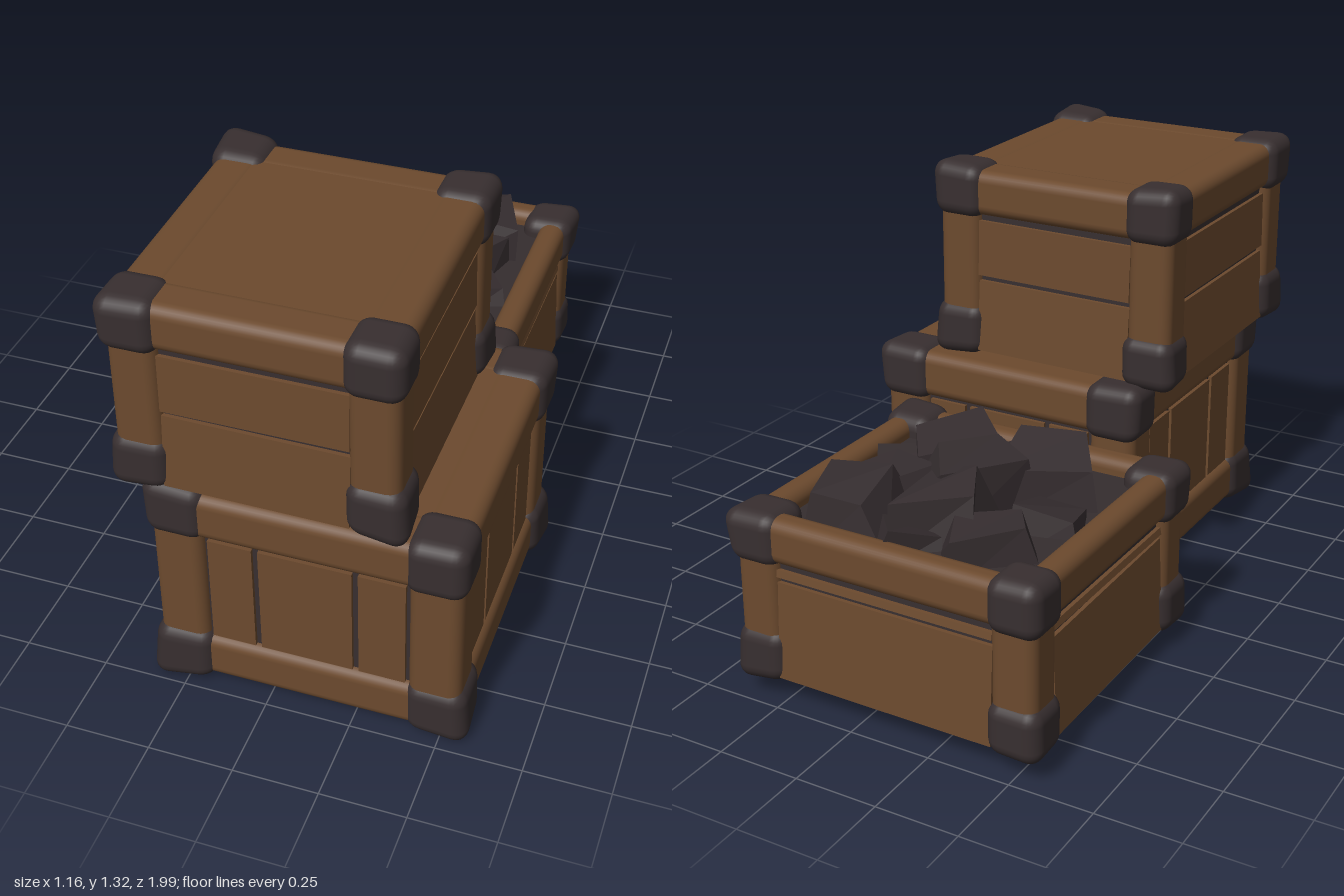
import * as THREE from 'three';
import { RoundedBoxGeometry } from 'three/addons/geometries/RoundedBoxGeometry.js';

const wood = new THREE.MeshStandardMaterial({ color: 0x6c4a2e });
wood.name = 'brown wood';
const dark = new THREE.MeshStandardMaterial({ color: 0x382f30 });
dark.name = 'dark iron';
const coalMat = new THREE.MeshStandardMaterial({ color: 0x352d2f, flatShading: true });
coalMat.name = 'coal';

// Repeatable noise in -1..1
function noise(n) {
  const s = Math.sin(n * 127.1 + 11.7) * 43758.5453;
  return (s - Math.floor(s)) * 2 - 1;
}

function add(group, name, geometry, material, x = 0, y = 0, z = 0) {
  const mesh = new THREE.Mesh(geometry, material);
  mesh.name = name;
  mesh.position.set(x, y, z);
  group.add(mesh);
  return mesh;
}

// Flat board; the lower edge may flare outwards (+z)
function boardGeometry(w, h, flare) {
  const g = new THREE.BoxGeometry(w, h, 0.03);
  const p = g.attributes.position;
  for (let i = 0; i < p.count; i++) {
    if (p.getY(i) < 0 && p.getZ(i) > 0) p.setZ(i, p.getZ(i) + flare);
  }
  g.computeVertexNormals();
  return g;
}

// Iron cap whose outer corner bulges a little, sx sy sz give the corner
function capGeometry(size, sx, sy, sz, seed) {
  const g = new RoundedBoxGeometry(size, size, size, 3, 0.045);
  const p = g.attributes.position;
  const h = size / 2;
  for (let i = 0; i < p.count; i++) {
    const x = p.getX(i), y = p.getY(i), z = p.getZ(i);
    const a = (x * sx / h + 1) / 2, b = (y * sy / h + 1) / 2, c = (z * sz / h + 1) / 2;
    const k = 0.012 * a * b * c;
    p.setXYZ(i, x + sx * k * (1 + noise(seed)), y + sy * k * (1 + noise(seed + 1)), z + sz * k * (1 + noise(seed + 2)));
  }
  return g;
}

function makeCrate({ name, min, max, t, seed, splits, vertical = false, bottomRails = false, open = false }) {
  const crate = new THREE.Group();
  crate.name = name;
  const size = max.map((v, i) => v - min[i]);
  crate.position.set(...max.map((v, i) => (v + min[i]) / 2));
  const inset = 0.014;

  // Core box: flush lid and base, recessed sides
  const coreTop = size[1] / 2 - (open ? 0.1 : inset + 0.002);
  const coreBottom = -size[1] / 2 + inset + 0.002;
  add(crate, 'core', new THREE.BoxGeometry(size[0] - 0.1, coreTop - coreBottom, size[2] - 0.1), wood, 0, (coreTop + coreBottom) / 2, 0);

  // Rails and posts along the edges
  for (let axis = 0; axis < 3; axis++) {
    const [u, v] = axis === 1 ? [0, 2] : [1, axis === 0 ? 2 : 0];
    for (const su of [-1, 1]) for (const sv of [-1, 1]) {
      if (axis !== 1 && su < 0 && !bottomRails) continue;
      const d = [0, 0, 0], pos = [0, 0, 0];
      d[axis] = size[axis] - t;
      d[u] = t - inset;
      d[v] = (open && axis !== 1 ? 0.1 : t) - inset;
      // Posts of an open crate stop level with the rails
      pos[u] = su * (size[u] / 2 - inset - d[u] / 2);
      pos[v] = sv * (size[v] / 2 - inset - d[v] / 2);
      add(crate, axis === 1 ? 'post' : 'rail', new RoundedBoxGeometry(...d, 3, 0.035), wood, ...pos);
    }
  }

  // Iron corner caps
  let n = seed;
  for (const sx of [-1, 1]) for (const sy of [-1, 1]) for (const sz of [-1, 1]) {
    n += 5;
    const s = t + 0.012;
    const j = (k) => 0.005 * noise(n + k);
    add(crate, 'cornerCap', capGeometry(s, sx, sy, sz, n), dark,
      sx * (size[0] / 2 - s / 2) + j(0), sy * (size[1] / 2 - s / 2) + j(1), sz * (size[2] / 2 - s / 2) + j(2));
  }

  // Boards on the four sides over a dark backing that shows in the gaps
  const low = -size[1] / 2 + (bottomRails ? t : inset + 0.002);
  const high = size[1] / 2 - t;
  for (let k = 0; k < 4; k++) {
    const side = new THREE.Group();
    side.name = 'sidePanel';
    side.rotation.y = k * Math.PI / 2;
    crate.add(side);
    const w = size[k % 2 ? 2 : 0] - 2 * t;
    const depth = size[k % 2 ? 0 : 2] / 2;
    const h = high - low;
    add(side, 'gapBacking', new THREE.BoxGeometry(w + 0.02, h, 0.008), dark, 0, (high + low) / 2, depth - 0.046);
    const cuts = [0, ...splits, 1];
    const gap = 0.018;
    for (let i = 0; i + 1 < cuts.length; i++) {
      const a = cuts[i], b = cuts[i + 1];
      const first = i === 0;
      if (vertical) {
        const bw = (b - a) * w - gap;
        add(side, 'board', boardGeometry(bw, h - 0.008, 0), wood, ((a + b) / 2 - 0.5) * w, (high + low) / 2 - 0.004, depth - 0.045);
      } else {
        const y0 = low + a * h, y1 = low + b * h - gap;
        if (y1 - y0 < 0.008) continue;
        const board = add(side, 'board', boardGeometry(w + 0.01, y1 - y0, first ? 0.014 : 0.004), wood, 0, (y0 + y1) / 2, depth - 0.045);
        board.rotation.z = 0.008 * noise(seed + k * 3 + i);
      }
    }
  }
  return crate;
}

// Block with pushed corners, shared corners move together
function coalGeometry(s, seed) {
  const g = new THREE.BoxGeometry(s, s * 0.75, s * 0.9);
  const p = g.attributes.position;
  for (let i = 0; i < p.count; i++) {
    const x = p.getX(i), y = p.getY(i), z = p.getZ(i);
    const id = seed * 9 + (x > 0 ? 1 : 0) + (y > 0 ? 2 : 0) + (z > 0 ? 4 : 0);
    const taper = y > 0 ? 0.82 : 1.05;
    p.setXYZ(i, x * taper + s * 0.13 * noise(id), y + s * 0.1 * noise(id + 0.3), z * taper + s * 0.13 * noise(id + 0.6));
  }
  g.computeVertexNormals();
  return g;
}

export function createModel() {
  const model = new THREE.Group();
  model.name = 'crateStack';

  model.add(makeCrate({
    name: 'lowerCrate', min: [-0.345, 0.015, 0.02], max: [0.57, 0.71, 0.98],
    t: 0.165, seed: 3, splits: [0.25, 0.74], vertical: true, bottomRails: true,
  }));
  model.add(makeCrate({
    name: 'upperCrate', min: [-0.425, 0.7, 0.08], max: [0.395, 1.31, 0.98],
    t: 0.155, seed: 61, splits: [0.56],
  }));
  model.add(makeCrate({
    name: 'openCrate', min: [-0.575, 0.07, -0.99], max: [0.4, 0.59, -0.06],
    t: 0.15, seed: 120, splits: [0.89], open: true,
  }));

  // Coal bed and lumps in the open crate
  const coal = new THREE.Group();
  coal.name = 'coalHeap';
  model.add(coal);
  add(coal, 'coalBed', new THREE.BoxGeometry(0.82, 0.05, 0.78), coalMat, -0.087, 0.5, -0.525);
  const lumps = [ // x, z, centre height, size, turn
    [-0.31, -0.75, 0.53, 0.25, 0.6], [-0.12, -0.68, 0.57, 0.26, 0.1],
    [0.12, -0.76, 0.55, 0.24, 0.2], [0.13, -0.61, 0.53, 0.24, 1.3],
    [-0.27, -0.37, 0.57, 0.27, 0.3], [-0.09, -0.49, 0.58, 0.25, 0.9],
    [0.05, -0.36, 0.56, 0.25, 0.7], [0.17, -0.43, 0.51, 0.2, 0.3],
    [-0.1, -0.27, 0.51, 0.2, 1.1], [0.14, -0.27, 0.51, 0.18, 0.5],
    [-0.36, -0.54, 0.51, 0.2, 0.2], [-0.07, -0.82, 0.51, 0.17, 0.8],
  ];
  lumps.forEach(([x, z, y, s, turn], i) => {
    const lump = add(coal, 'coalLump', coalGeometry(s, i + 1), coalMat, x, y, z);
    lump.rotation.set(0.18 * noise(i + 40), turn, 0.18 * noise(i + 80));
  });

  return model;
}
